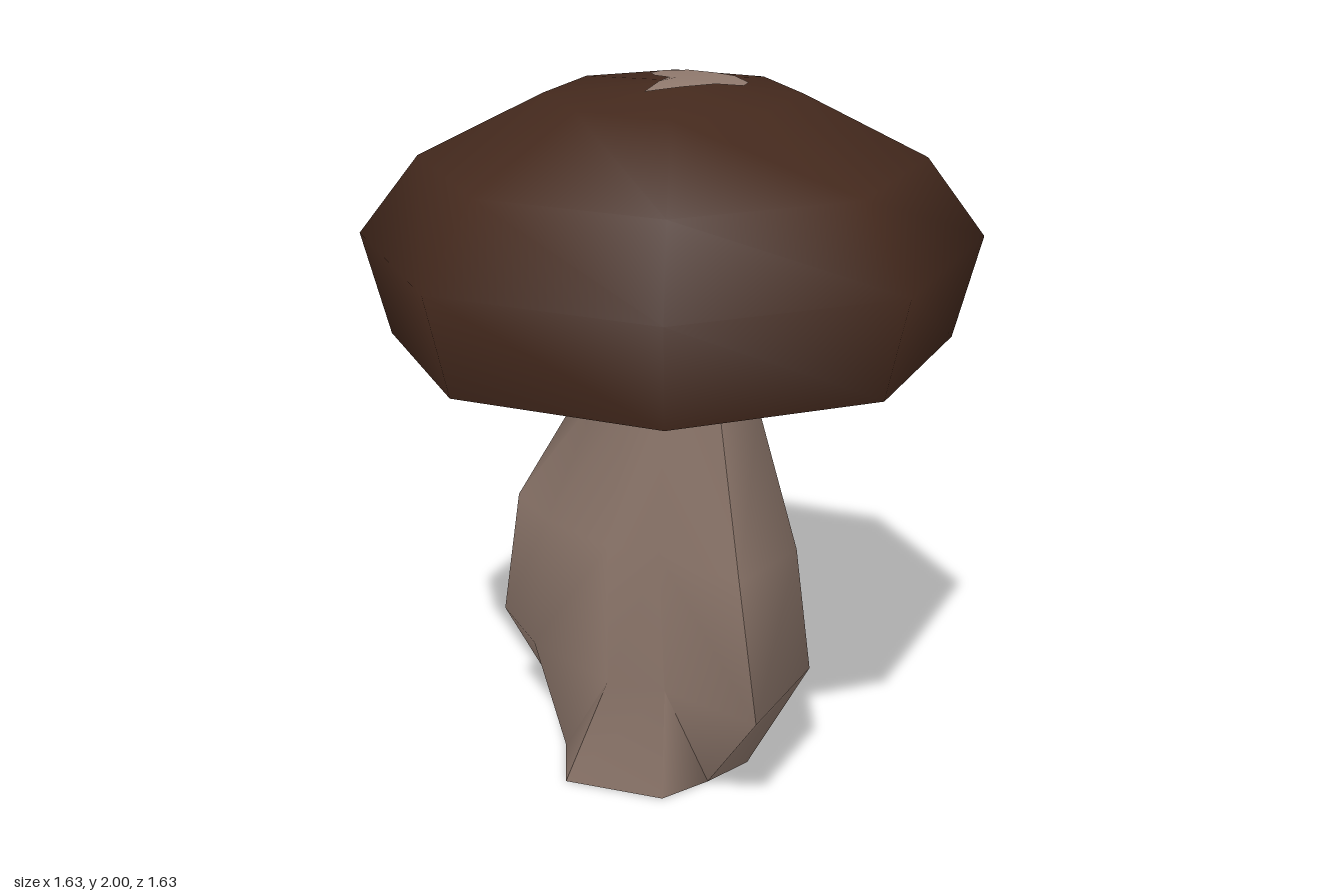
import * as THREE from 'three';
import { toCreasedNormals } from 'three/addons/utils/BufferGeometryUtils.js';

const make = (name, color, side = THREE.FrontSide) => {
  const m = new THREE.MeshStandardMaterial({ color, side });
  m.name = name;
  return m;
};

function build(positions, index) {
  const g = new THREE.BufferGeometry();
  g.setAttribute('position', new THREE.Float32BufferAttribute(positions, 3));
  g.setIndex(index);
  g.computeVertexNormals();
  return g;
}

// Skin between stacked rings: each ring is { y, p: [[x, z], ...] }, counterclockwise from above
function loft(rings) {
  const n = rings[0].p.length;
  const pos = rings.flatMap(r => r.p.flatMap(([x, z]) => [x, r.y, z]));
  const index = [];
  for (let i = 0; i < rings.length - 1; i++) {
    for (let j = 0; j < n; j++) {
      const k = (j + 1) % n;
      const a = i * n + j, b = i * n + k, c = b + n, d = a + n;
      // The closing column folds inwards, behind the front ridge
      if (k === 0) index.push(a, b, d, b, c, d);
      else index.push(a, b, c, a, c, d);
    }
  }
  return toCreasedNormals(build(pos, index), 1.15);
}

// Flat or domed fan around a centre; heightAt gives y
function fan(center, outline, heightAt, up) {
  const pos = [center, ...outline].flatMap(([x, z]) => [x, heightAt(x, z), z]);
  const index = [];
  outline.forEach((_, i) => {
    const a = i + 1, b = (i + 1) % outline.length + 1;
    index.push(0, ...(up ? [a, b] : [b, a]));
  });
  return build(pos, index);
}

export function createModel() {
  const group = new THREE.Group();
  const brown = make('dark brown cap', 0x44291d);
  const flesh = make('pale stem', 0x927b6f, THREE.DoubleSide);
  const green = make('green underside', 0xadbb6b, THREE.DoubleSide);
  const add = (name, geometry, material) => {
    const mesh = new THREE.Mesh(geometry, material);
    mesh.name = name;
    group.add(mesh);
  };
  const lathe = pts => new THREE.LatheGeometry(pts.map(([x, y]) => new THREE.Vector2(x, y)), 8);

  // Eight-sided cap whose crown leans slightly off centre
  const cap = lathe([[0.745, 1.305], [0.817, 1.58], [0.655, 1.795], [0.33, 1.962], [0, 1.996]]);
  const p = cap.attributes.position;
  for (let i = 0; i < p.count; i++) {
    const t = Math.max(0, (p.getY(i) - 1.58) / 0.42);
    p.setX(i, p.getX(i) - 0.04 * t);
    p.setZ(i, p.getZ(i) + 0.05 * t);
  }
  add('cap', cap, brown);

  // Hollow underside
  add('underside', lathe([[0.2, 1.66], [0.5, 1.53], [0.745, 1.305]]), green);

  // Pale patch on the crown, fanned around its peak
  const patch = [[-0.17, 0.08], [-0.08, 0.04], [0, 0], [-0.01, -0.05], [0.04, -0.12], [0.12, -0.15],
    [0.17, -0.11], [0.18, -0.02], [0.18, 0.05], [0.13, 0.15], [0.08, 0.18], [0.02, 0.14], [-0.08, 0.12]];
  add('capPatch', fan([-0.04, 0.05], patch.reverse(),
    (x, z) => 2.002 - 0.103 * Math.hypot(x + 0.04, z - 0.05), true), flesh);

  // Lopsided stem: front ridge, right side, back, left side, notch behind the ridge
  const rings = [
    { y: 0, p: [[0.02, 0.13], [0.18, 0.13], [0.33, -0.2], [0.18, -0.33], [0.02, -0.465], [-0.13, -0.31], [-0.27, -0.15], [-0.14, 0.11]] },
    { y: 0.34, p: [[-0.1, 0.43], [0.25, 0.3], [0.41, -0.08], [0.265, -0.45], [-0.11, -0.6], [-0.2, -0.36], [-0.215, -0.03], [-0.14, 0.12]] },
    { y: 0.76, p: [[-0.15, 0.41], [0.12, 0.36], [0.29, -0.02], [0.13, -0.4], [-0.16, -0.46], [-0.225, -0.26], [-0.235, 0], [-0.17, 0.13]] },
    { y: 1.15, p: [[-0.1, 0.29], [0.06, 0.27], [0.17, 0.02], [0.1, -0.21], [-0.09, -0.23], [-0.16, -0.11], [-0.18, 0.02], [-0.14, 0.12]] },
    { y: 1.34, p: [[-0.13, 0.25], [0.06, 0.24], [0.17, 0.02], [0.1, -0.19], [-0.1, -0.2], [-0.19, -0.1], [-0.23, 0.02], [-0.18, 0.13]] },
  ];
  add('stem', loft(rings), flesh);
  add('stemBase', fan([0.03, -0.17], rings[0].p, () => 0, false), flesh);

  // Flared collar joining the stem to the underside
  const top = rings[4];
  add('collar', loft([top, { y: 1.64, p: top.p.map(([x, z]) => [x * 1.5, z * 1.5]) }]), green);

  // Dark mark on the bottom of the stem
  add('baseMark', fan([0.02, -0.32], [[0.08, -0.2], [0.1, -0.32], [0.02, -0.455], [-0.11, -0.32]], () => -0.002, false), brown);

  return group;
}
